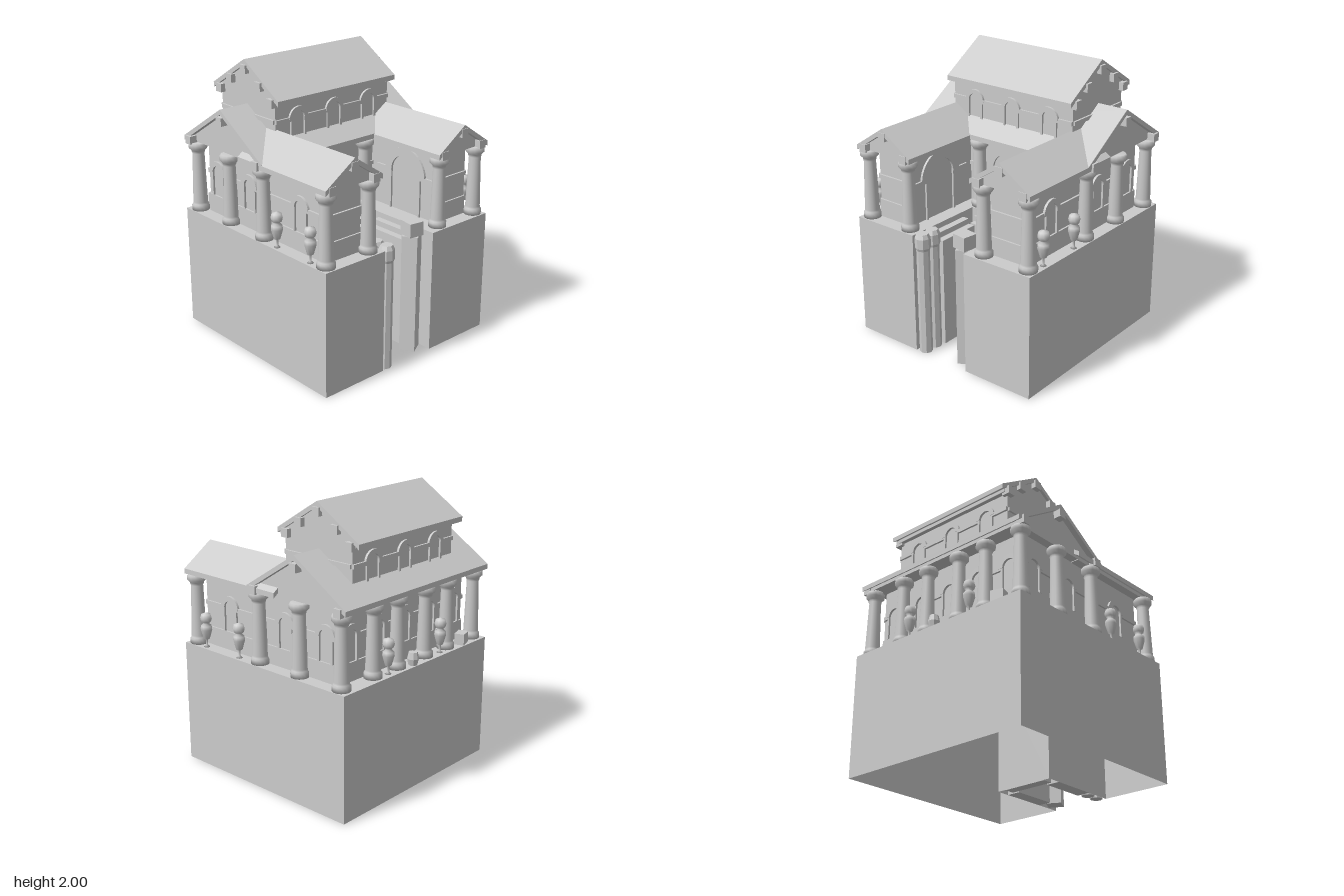
import * as THREE from 'three';

const stone = new THREE.MeshStandardMaterial({ color: 0xcccccc, side: THREE.DoubleSide });
const facet = new THREE.MeshStandardMaterial({ color: 0xcccccc, flatShading: true });

function add(parent, name, geo, x = 0, y = 0, z = 0, ry = 0, mat = stone) {
  const m = new THREE.Mesh(geo, mat);
  m.name = name;
  m.position.set(x, y, z);
  m.rotation.y = ry;
  parent.add(m);
  return m;
}

// box given by its min and max corners
function block(parent, name, x0, x1, y0, y1, z0, z1) {
  return add(parent, name, new THREE.BoxGeometry(x1 - x0, y1 - y0, z1 - z0),
    (x0 + x1) / 2, (y0 + y1) / 2, (z0 + z1) / 2);
}

const lathe = (pts, n) => new THREE.LatheGeometry(pts.map(p => new THREE.Vector2(...p)), n);

function prism(pts, depth) {
  const s = new THREE.Shape(pts.map(p => new THREE.Vector2(...p)));
  return new THREE.ExtrudeGeometry(s, { depth, bevelEnabled: false }).translate(0, 0, -depth / 2);
}

// gable roof with its ridge along local z, plus the pediment filling below it
function gable(parent, name, { half, eave, ridge, length, inset, x = 0, z = 0, ry = 0, base = eave - 0.035 }) {
  const g = new THREE.Group();
  g.name = name;
  g.position.set(x, 0, z);
  g.rotation.y = ry;
  const t = 0.035;
  add(g, 'roofSlopes', prism([[-half, eave - t], [0, ridge - t], [half, eave - t], [half, eave], [0, ridge], [-half, eave]], length));
  const w = half - 0.04, top = eave - t + (ridge - eave) * 0.04 / half;
  add(g, 'pediment', prism([[-w, base], [w, base], [w, top], [0, ridge - t], [-w, top]], length - 2 * inset));
  parent.add(g);
  return g;
}

// row of beam ends under a gable; spots are [across, height]
function beamEnds(g, spots, at, size = 0.058) {
  for (const [u, y] of spots) add(g, 'beamEnd', new THREE.BoxGeometry(size, size, 0.06), u, y, at);
}

function archRing(r, R, depth) {
  const s = new THREE.Shape();
  s.absarc(0, 0, R, 0, Math.PI, false);
  s.absarc(0, 0, r, Math.PI, 0, true);
  return new THREE.ExtrudeGeometry(s, { depth, bevelEnabled: false, curveSegments: 12 });
}

// arched windows with bands between them, laid on a wall facing local +z
function facade(parent, name, x, z, ry, from, to, centers, o = {}) {
  const { r = 0.05, R = 0.085, band = 1.18, foot = 1.01, dado = 0.88 } = o;
  const g = new THREE.Group();
  g.name = name;
  g.position.set(x, 0, z);
  g.rotation.y = ry;
  let u = from;
  for (const c of [...centers, null]) {
    const end = c === null ? to : c - r;
    if (end - u > 0.01) block(g, 'band', u, end, band - 0.014, band + 0.014, -0.01, 0.014);
    if (c === null) break;
    add(g, 'arch', archRing(r, R, 0.016), c, band, 0);
    for (const s of [-1, 1]) {
      const j = c + s * (r + 0.008);
      block(g, 'jamb', j - 0.008, j + 0.008, foot, band, -0.01, 0.014);
    }
    u = c + r;
  }
  if (dado < foot) block(g, 'dado', from, to, dado, foot, -0.01, 0.012);
  parent.add(g);
}

const columnGeo = lathe([[0, 0], [0.062, 0], [0.062, 0.035], [0.053, 0.046], [0.052, 0.06], [0.042, 0.42], [0.047, 0.43],
  [0.047, 0.44], [0.066, 0.46], [0.066, 0.488], [0.056, 0.5], [0, 0.5]], 14);
const urnGeo = lathe([[0, 0], [0.022, 0.002], [0.008, 0.015], [0.008, 0.055], [0.022, 0.062], [0.041, 0.13], [0.038, 0.155],
  [0.02, 0.172], [0.034, 0.186], [0.041, 0.21], [0.033, 0.238], [0, 0.25]], 10);

function buildPodium(root) {
  // hollow walls, open underneath, wrapping a forecourt
  const p = [[-0.75, 0.74], [-0.24, 0.74], [-0.24, 0.12], [0.21, 0.12], [0.21, 0.74], [0.75, 0.74], [0.75, -0.75], [-0.75, -0.75]];
  const g = new THREE.Group();
  g.name = 'podium';
  p.forEach(([x0, z0], i) => {
    const [x1, z1] = p[(i + 1) % p.length];
    add(g, 'podiumWall', new THREE.PlaneGeometry(Math.hypot(x1 - x0, z1 - z0), 0.88),
      (x0 + x1) / 2, 0.44, (z0 + z1) / 2, Math.atan2(-(z1 - z0), x1 - x0));
  });
  const top = new THREE.Shape(p.map(([x, z]) => new THREE.Vector2(x, -z)));
  add(g, 'terrace', new THREE.ShapeGeometry(top).rotateX(-Math.PI / 2), 0, 0.88, 0);
  root.add(g);

  // stepped ledges lining the forecourt
  block(root, 'backLedgeUpper', -0.19, 0.15, 0, 0.84, 0.125, 0.16);
  block(root, 'backLedgeLower', -0.19, 0.15, 0, 0.8, 0.16, 0.2);
  block(root, 'rightLedgeUpper', -0.24, -0.19, 0, 0.84, 0.22, 0.55);
  block(root, 'rightLedgeLower', -0.19, -0.14, 0, 0.8, 0.22, 0.55);
  block(root, 'leftLedgeUpper', 0.16, 0.21, 0, 0.84, 0.22, 0.55);
  block(root, 'leftLedgeLower', 0.11, 0.16, 0, 0.8, 0.22, 0.55);

  // forecourt posts
  const post = lathe([[0, 0], [0.046, 0], [0.046, 0.78], [0.054, 0.8], [0.054, 0.87], [0.04, 0.9], [0, 0.9]], 8);
  for (const z of [0.605, 0.7]) add(root, 'cappedPost', post, -0.185, 0, z, 0, facet);
  add(root, 'squarePost', new THREE.BoxGeometry(0.11, 0.86, 0.11), 0.125, 0.43, 0.625, 0.5);
  add(root, 'postBlock', new THREE.BoxGeometry(0.11, 0.1, 0.11), 0.125, 0.91, 0.625, -0.15);
}

function buildWalls(root) {
  const H = Math.PI / 2;
  block(root, 'hall', -0.64, 0.64, 0.88, 1.42, -0.605, 0);
  const bays = [0.535, 0.265, 0, -0.265, -0.535];
  facade(root, 'backFacade', 0, -0.605, Math.PI, -0.64, 0.64, bays.slice().reverse());
  facade(root, 'courtFacade', 0, 0, 0, -0.35, 0.35, [0], { r: 0.135, R: 0.2, band: 1.165, foot: 0.88 });
  for (const s of [-1, 1]) {
    block(root, 'wing', s > 0 ? 0.35 : -0.64, s > 0 ? 0.64 : -0.35, 0.88, 1.42, -0.1, 0.62);
    const side = [-0.38, 0.145, 0.5].map(c => c * s);
    facade(root, 'sideFacade', s * 0.64, 0, s * H, s > 0 ? -0.62 : -0.605, s > 0 ? 0.605 : 0.62, s > 0 ? side : side.reverse());
    facade(root, 'wingFront', s * 0.495, 0.62, 0, -0.145, 0.145, []);
    facade(root, 'wingCourtSide', s * 0.35, 0.34, -s * H, -0.28, 0.28, [0], { r: 0.13, R: 0.19, band: 1.165, foot: 0.88 });
  }
  // raised upper storey
  block(root, 'upperStorey', -0.51, 0.51, 1.4, 1.78, -0.6, -0.025);
  const up = { r: 0.05, R: 0.08, band: 1.625, foot: 1.5, dado: 1.5 };
  facade(root, 'upperFront', 0, -0.025, 0, -0.51, 0.51, [-0.32, 0, 0.32], up);
  facade(root, 'upperBack', 0, -0.6, Math.PI, -0.51, 0.51, [-0.32, 0, 0.32], up);
  for (const s of [-1, 1]) facade(root, 'upperEnd', s * 0.51, -0.3125, s * H, -0.28, 0.28, [], up);
}

function buildRoofs(root) {
  const H = Math.PI / 2;
  const main = gable(root, 'mainRoof', { half: 0.43, eave: 1.42, ridge: 1.695, length: 1.48, inset: 0.04, z: -0.32, ry: H });
  const upper = gable(root, 'upperRoof', { half: 0.35, eave: 1.78, ridge: 2, length: 1.06, inset: 0.02, z: -0.32, ry: H });
  for (const s of [-1, 1]) {
    beamEnds(main, [[0, 1.615], [-0.37, 1.4], [0.37, 1.4]], s * 0.725);
    beamEnds(upper, [[0, 1.935], [-0.155, 1.845], [0.155, 1.845], [-0.275, 1.755], [0.275, 1.755]], s * 0.515);
    const wing = gable(root, 'wingRoof', { half: 0.24, eave: 1.415, ridge: 1.575, length: 0.87, inset: 0.04, x: s * 0.5, z: 0.295 });
    beamEnds(wing, [[0, 1.52], [-0.185, 1.4], [0.185, 1.4]], 0.41);
  }
}

function buildColumns(root) {
  const spots = [[0.145, -0.67], [0.385, -0.67], [0.685, -0.67], [0.685, -0.31], [0.685, 0.055], [0.685, 0.67], [0.325, 0.67], [0.225, 0.05]];
  for (const s of [-1, 1]) for (const [x, z] of spots) add(root, 'column', columnGeo, s * x, 0.88, z);
}

function buildOrnaments(root) {
  for (const s of [-1, 1]) {
    for (const z of [0.555, 0.225]) add(root, 'urn', urnGeo, s * 0.715, 0.88, z);
    add(root, 'urn', urnGeo, s * 0.275, 0.88, -0.705);
  }
  add(root, 'barrel', lathe([[0, 0], [0.03, 0], [0.04, 0.045], [0.03, 0.09], [0, 0.09]], 8), 0.03, 0.88, -0.715, 0, facet);
  add(root, 'crate', new THREE.BoxGeometry(0.09, 0.08, 0.07), -0.53, 0.92, -0.7, 0.3);
}

export function createModel() {
  const root = new THREE.Group();
  root.name = 'hillVilla';
  buildPodium(root);
  buildWalls(root);
  buildRoofs(root);
  buildColumns(root);
  buildOrnaments(root);
  return root;
}
